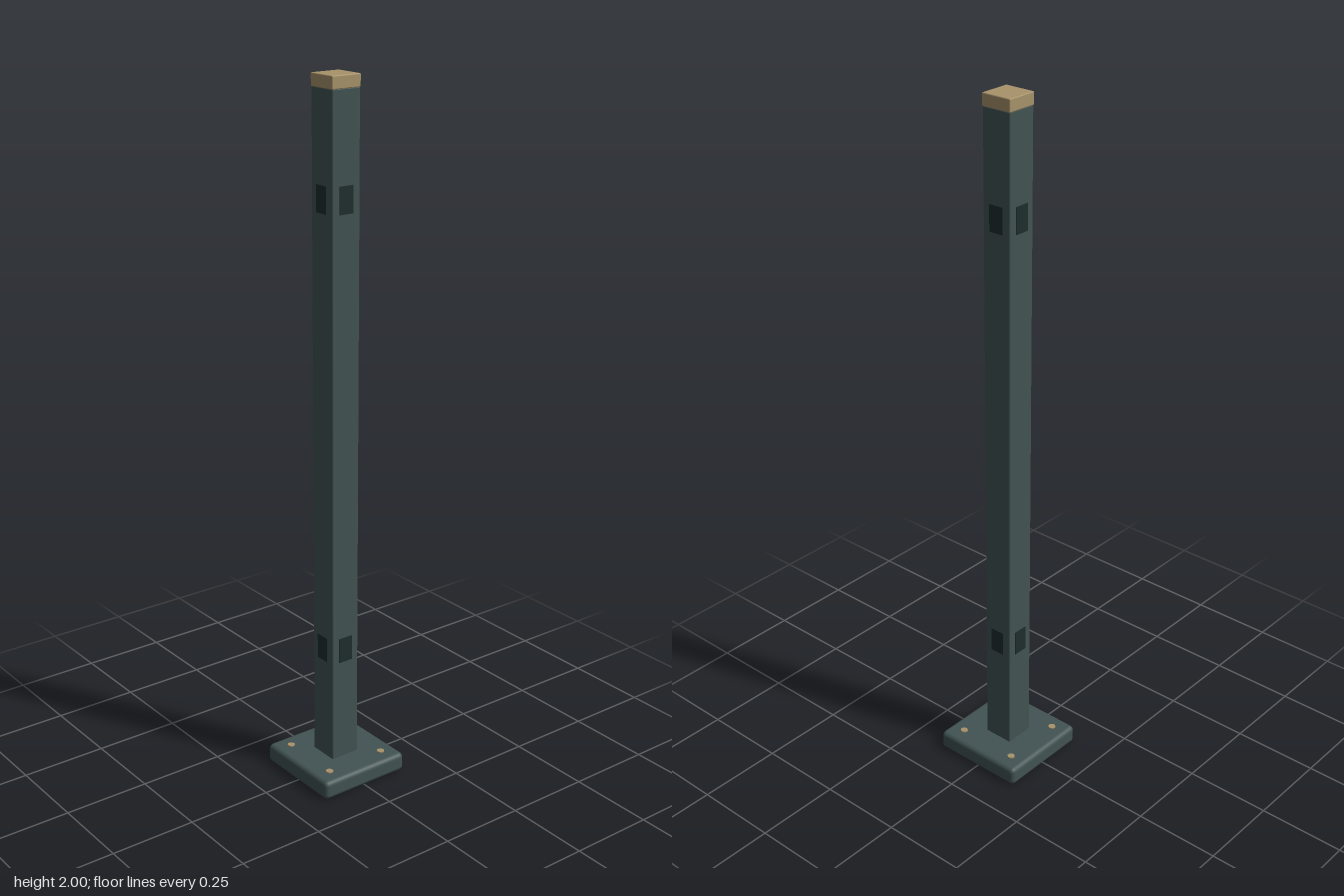
import * as THREE from 'three';
import { RoundedBoxGeometry } from 'three/addons/geometries/RoundedBoxGeometry.js';

export function createModel() {
  const group = new THREE.Group();
  const material = (name, color) => {
    const m = new THREE.MeshStandardMaterial({ color });
    m.name = name;
    return m;
  };
  const paint = material('dark green paint', 0x425353);
  const brass = material('dull brass', 0xa8936a);
  const recess = material('dark recess', 0x1f2d2e);

  const add = (name, geometry, mat, x, y, z) => {
    const mesh = new THREE.Mesh(geometry, mat);
    mesh.name = name;
    mesh.position.set(x, y, z);
    group.add(mesh);
    return mesh;
  };

  // Rounded foot plate, square post and cap
  add('basePlate', new RoundedBoxGeometry(0.284, 0.056, 0.284, 3, 0.014), paint, 0, 0.028, 0);
  add('post', new RoundedBoxGeometry(0.09, 1.915, 0.09, 2, 0.004), paint, 0, 1.0095, 0);
  add('cap', new RoundedBoxGeometry(0.092, 0.035, 0.092, 2, 0.003), brass, 0, 1.9825, 0);

  // Bolt heads at the corners of the foot plate
  const boltGeometry = new THREE.CylinderGeometry(0.011, 0.011, 0.008, 8);
  boltGeometry.rotateY(Math.PI / 8);
  for (const x of [-0.093, 0.093]) {
    for (const z of [-0.093, 0.093]) add('bolt', boltGeometry, brass, x, 0.055, z);
  }

  // Upper and lower rail slots on all four faces
  const slotGeometry = new THREE.BoxGeometry(0.044, 0.074, 0.006);
  for (const y of [0.397, 1.682]) {
    for (let i = 0; i < 4; i++) {
      const a = (i * Math.PI) / 2;
      add('railSlot', slotGeometry, recess, Math.sin(a) * 0.0445, y, Math.cos(a) * 0.0445).rotation.y = a;
    }
  }
  return group;
}
